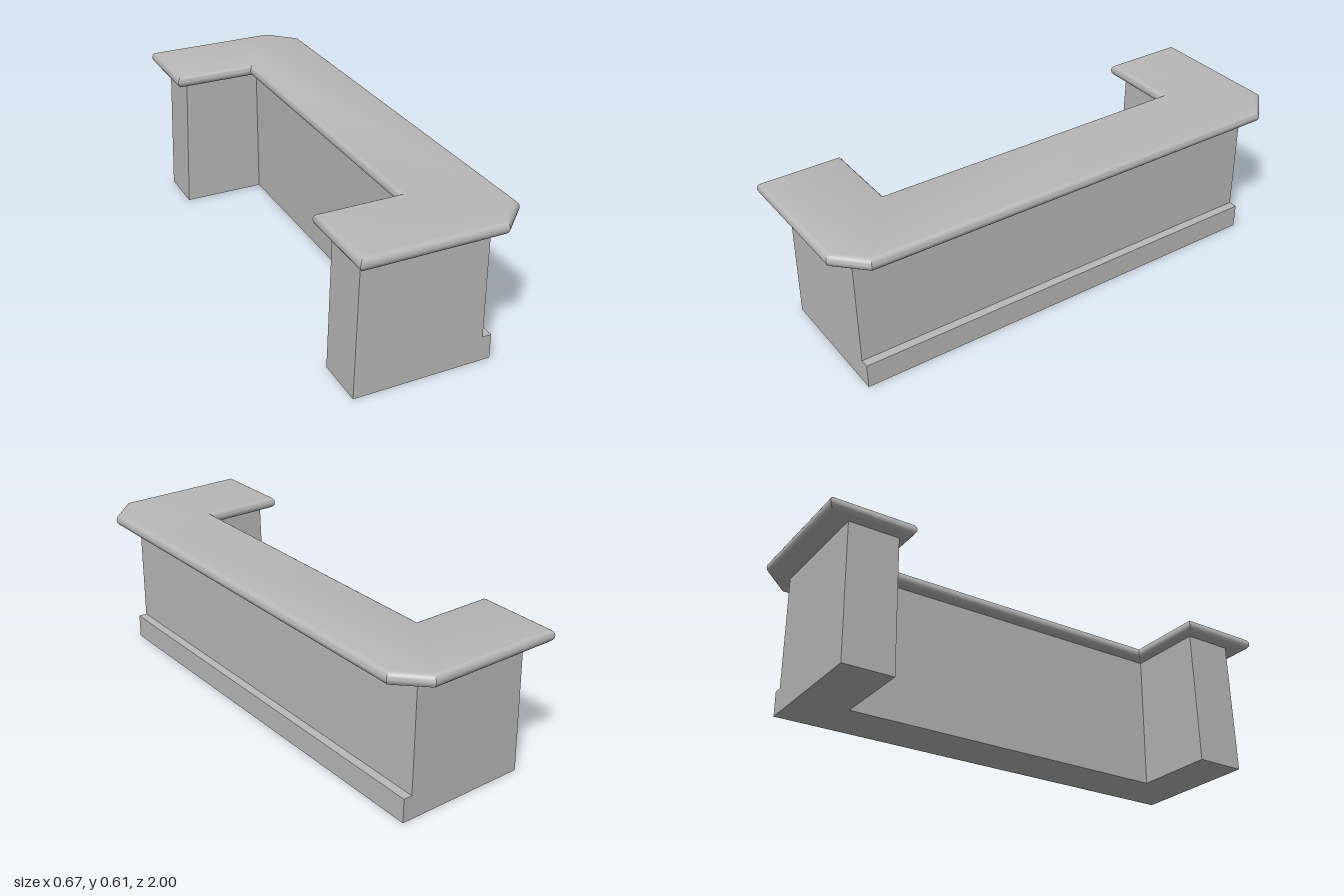
import * as THREE from 'three';
import { toCreasedNormals } from 'three/addons/utils/BufferGeometryUtils.js';

// Extrudes a plan, given as [x, z] points for the +z half and mirrored, upwards from y
function slab(half, y, height, bevel = 0) {
  const points = [...half, ...half.map(([x, z]) => [x, -z]).reverse()];
  const shape = new THREE.Shape(points.map(([x, z]) => new THREE.Vector2(x, z)));
  const geometry = new THREE.ExtrudeGeometry(shape, {
    depth: height - 2 * bevel,
    bevelEnabled: bevel > 0,
    bevelThickness: bevel,
    bevelSize: bevel,
    bevelOffset: -bevel,
    bevelSegments: 5,
  });
  geometry.rotateX(-Math.PI / 2);
  geometry.translate(0, y + bevel, 0);
  return geometry;
}

export function createModel() {
  const group = new THREE.Group();
  const grey = new THREE.MeshStandardMaterial({ color: 0xb8b8b8 });
  grey.name = 'plain grey';

  const add = (name, geometry) => {
    const mesh = new THREE.Mesh(geometry, grey);
    mesh.name = name;
    group.add(mesh);
  };

  // U-shaped body: front panel with two side wings
  const body = slab([[0.04, 0.7], [-0.304, 0.7], [-0.304, 0.905], [0.214, 0.905]], 0, 0.575);
  // Wing ends lean in slightly towards the top
  const p = body.attributes.position;
  for (let i = 0; i < p.count; i++) {
    if (p.getX(i) < -0.2) p.setX(i, p.getX(i) + 0.035 * p.getY(i));
  }
  body.computeVertexNormals();
  add('counterBody', body);

  // Skirting step along the customer side
  const plinth = new THREE.BoxGeometry(0.04, 0.1, 1.81);
  plinth.translate(0.23, 0.05, 0);
  add('frontPlinth', plinth);

  // Overhanging worktop with rounded edges and clipped outer corners
  const top = slab(
    [[-0.004, 0.656], [-0.336, 0.656], [-0.336, 1], [0.222, 1], [0.336, 0.888]],
    0.563, 0.051, 0.0235,
  );
  add('worktop', toCreasedNormals(top, 0.5));

  return group;
}
